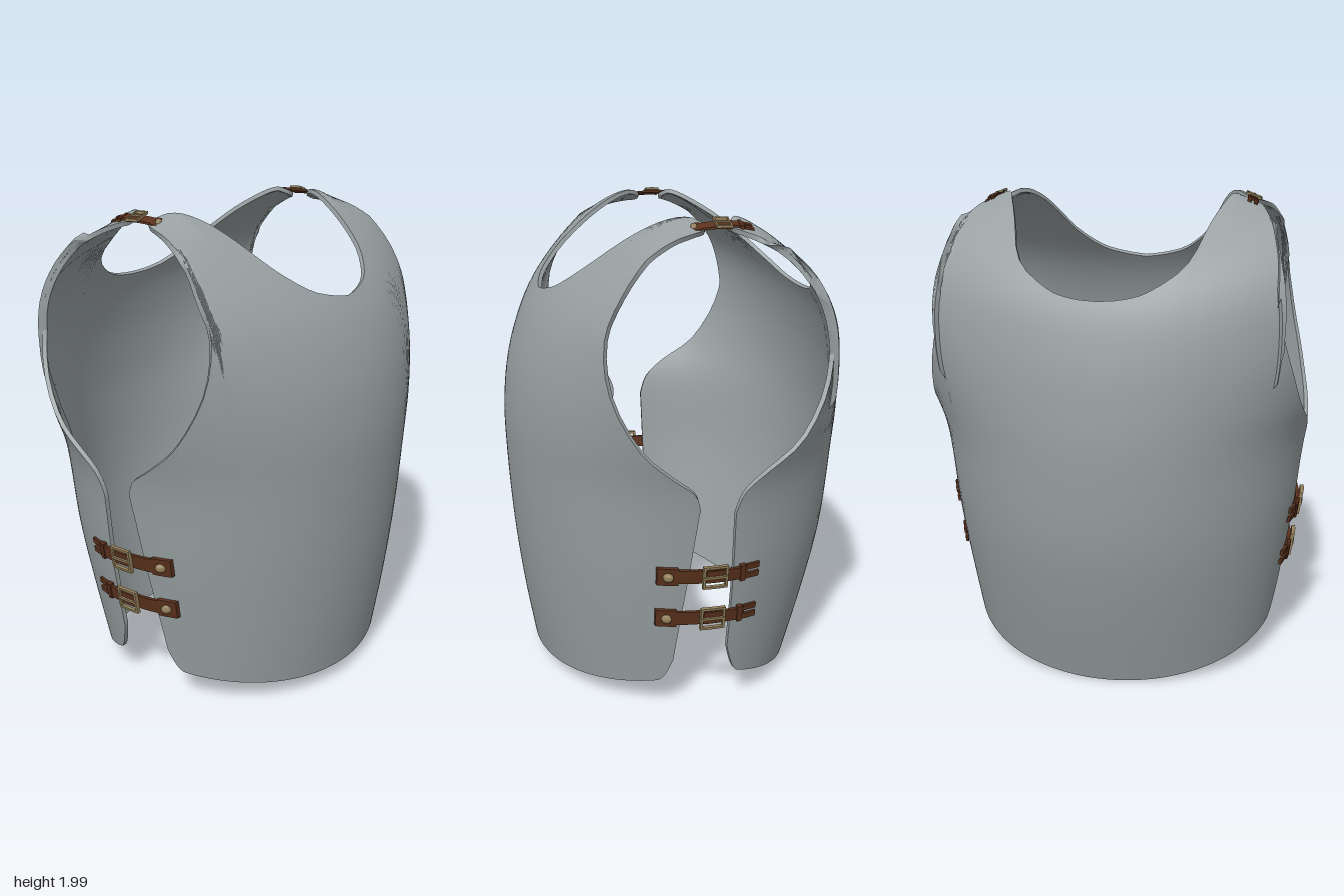
import * as THREE from 'three';
import { mergeGeometries, mergeVertices, toCreasedNormals } from 'three/addons/utils/BufferGeometryUtils.js';

const COLS = 108, ROWS = 30, THICK = 0.018;

// Side profile rows (half width, height, depth), numbered upward from the hem
const FRONT = {
  side: 1, lift: 0.42, hem: 1.33,
  profile: [[0.665, 0.07, 0.62], [0.705, 0.35, 0.66], [0.75, 0.66, 0.69], [0.795, 1, 0.705],
    [0.85, 1.2, 0.7], [0.905, 1.4, 0.665], [0.96, 1.6, 0.585], [0.98, 1.75, 0.47],
    [0.97, 1.87, 0.33], [0.95, 1.95, 0.2], [0.95, 1.988, 0.09], [0.95, 1.985, 0]],
  // Edge over neck, shoulder tip and armhole (angle, profile row)
  edge: [[0, 6.4], [0.1, 6.5], [0.21, 6.75], [0.32, 7.4], [0.39, 8.3], [0.45, 9.3], [0.5, 10.3],
    [0.56, 11], [0.62, 10.9], [0.66, 10.1], [0.7, 9], [0.72, 8], [0.75, 7], [0.79, 6],
    [0.92, 5], [1.12, 4], [1.3, 3.4], [1.42, 3.1], [1.457, 2.85]],
};
const BACK = {
  side: -1, lift: 0.55, hem: 1.46,
  profile: [[0.65, 0, 0.515], [0.705, 0.35, 0.61], [0.75, 0.66, 0.675], [0.79, 1, 0.7],
    [0.87, 1.2, 0.695], [0.95, 1.4, 0.672], [1, 1.6, 0.62], [1, 1.75, 0.525],
    [0.98, 1.87, 0.38], [0.96, 1.945, 0.26], [0.95, 1.985, 0.17], [0.95, 1.985, 0.12]],
  edge: [[0, 6.1], [0.1, 6.15], [0.2, 6.35], [0.33, 7], [0.41, 8.2], [0.47, 9.3], [0.51, 10.3],
    [0.56, 11], [0.61, 10.9], [0.64, 10.1], [0.67, 9], [0.69, 8], [0.71, 7], [0.72, 6],
    [0.84, 5], [1.06, 4], [1.3, 3.4], [1.43, 3.05], [1.48, 2.75]],
};

// Curved plate: columns run from the hem to the neck, shoulder and armhole edge
function plateGeometry({ side, lift, hem, profile, edge }) {
  const rows = new THREE.CatmullRomCurve3(profile.map((p) => new THREE.Vector3(...p)), false, 'catmullrom', 0.5);
  const top = new THREE.SplineCurve(edge.map((p) => new THREE.Vector2(...p)));
  const last = profile.length - 1;
  const pos = [], grid = [];
  const id = (c, r) => r * (COLS + 1) + c;
  for (let r = 0; r <= ROWS; r++) {
    for (let c = 0; c <= COLS; c++) {
      const u = (c / COLS) * 2 - 1, s = Math.abs(u), t = r / ROWS;
      const end = top.getPoint(s);
      const corner = Math.max(0, (s - 0.92) / 0.08);
      const low = lift * (1 - Math.cos(s * hem)) + 0.35 * corner * corner;
      const angle = THREE.MathUtils.lerp(s * hem, end.x, t);
      const row = THREE.MathUtils.lerp(low, end.y, t);
      const p = rows.getPoint(Math.min(1, row / last));
      const x = p.x * Math.sin(angle);
      // shoulders slope down to the outside
      const drop = 0.4 * Math.max(0, x - 0.47) * THREE.MathUtils.clamp((row - 8) / 2, 0, 1);
      pos.push(side * Math.sign(u) * x, p.y - drop, side * p.z * Math.cos(angle));
    }
  }
  for (let r = 0; r < ROWS; r++) {
    for (let c = 0; c < COLS; c++) {
      const a = id(c, r), b = id(c + 1, r), d = id(c, r + 1), e = id(c + 1, r + 1);
      grid.push(a, b, e, a, e, d);
    }
  }
  const outer = new THREE.BufferGeometry();
  outer.setAttribute('position', new THREE.Float32BufferAttribute(pos, 3));
  outer.setIndex(grid);
  outer.computeVertexNormals();
  const n = pos.length / 3, normals = outer.attributes.normal.array;
  const all = pos.concat(pos.map((v, i) => v - normals[i] * THICK));
  const index = grid.slice();
  for (let i = 0; i < grid.length; i += 3) index.push(grid[i] + n, grid[i + 2] + n, grid[i + 1] + n);
  // Rim joining the outer and inner skins
  const rim = [];
  for (let c = 0; c < COLS; c++) rim.push(id(c, 0));
  for (let r = 0; r < ROWS; r++) rim.push(id(COLS, r));
  for (let c = COLS; c > 0; c--) rim.push(id(c, ROWS));
  for (let r = ROWS; r > 0; r--) rim.push(id(0, r));
  rim.forEach((a, i) => {
    const b = rim[(i + 1) % rim.length];
    index.push(a, a + n, b + n, a, b + n, b);
  });
  const shell = new THREE.BufferGeometry();
  shell.setAttribute('position', new THREE.Float32BufferAttribute(all, 3));
  shell.setIndex(index);
  return toCreasedNormals(shell, 0.9);
}

// Box in strap space: x = height off the plate, y = across, z = along
function bar(off, y, z, thick, width, length) {
  return new THREE.BoxGeometry(thick, width, length, 1, 1, 8).translate(off, y, z);
}

function leatherParts() {
  return [
    bar(0.008, 0, 0.18, 0.018, 0.076, 0.08),
    bar(0.008, 0, 0.045, 0.014, 0.06, 0.2),
    bar(0.016, 0, -0.05, 0.014, 0.054, 0.17),
    bar(0.016, 0, -0.115, 0.024, 0.07, 0.022),
    bar(0.014, 0.02, -0.16, 0.012, 0.024, 0.06),
    bar(0.014, -0.02, -0.16, 0.012, 0.024, 0.06),
  ];
}

function brassParts() {
  const parts = [bar(0.03, 0, 0, 0.01, 0.01, 0.1)];
  for (const s of [-1, 1]) {
    parts.push(bar(0.024, s * 0.045, 0, 0.016, 0.01, 0.1));
    parts.push(bar(0.024, 0, s * 0.045, 0.016, 0.1, 0.01));
  }
  const rivet = new THREE.SphereGeometry(0.02, 14, 10);
  parts.push(rivet.scale(0.8, 1, 1).translate(0.02, 0, 0.18));
  return parts;
}

// Bend merged strap parts onto the armour by a placing rule
function bend(parts, place) {
  const geometry = mergeGeometries(parts);
  geometry.deleteAttribute('normal');
  geometry.deleteAttribute('uv');
  const p = geometry.attributes.position;
  for (let i = 0; i < p.count; i++) p.setXYZ(i, ...place(p.getX(i), p.getY(i), p.getZ(i)));
  return toCreasedNormals(mergeVertices(geometry), 0.8);
}

const sidePlace = (sx, height) => (off, a, z) => {
  const y = height + sx * a + 0.03 * z;
  const wall = (0.654 + 0.145 * y) * Math.sqrt(1 - (z / 0.68) ** 2);
  return [sx * (wall + off), y, z + 0.015];
};

const shoulderPlace = (sx) => (off, a, along) => {
  const x = sx * 0.535 - 0.61 * a, z = 0.61 * along - 0.065;
  return [x, 1.988 + 0.61 * off - 0.4 * (Math.abs(x) - 0.47) - 0.9 * (z + 0.05) ** 2, z];
};

export function createModel() {
  const steel = new THREE.MeshStandardMaterial({ name: 'steel', color: 0x98a0a1 });
  const leather = new THREE.MeshStandardMaterial({ name: 'leather', color: 0x5a311c });
  const brass = new THREE.MeshStandardMaterial({ name: 'brass', color: 0x94815c });

  const model = new THREE.Group();
  model.name = 'cuirass';
  const add = (parent, name, geometry, material) => {
    const mesh = new THREE.Mesh(geometry, material);
    mesh.name = name;
    parent.add(mesh);
  };
  add(model, 'breastPlate', plateGeometry(FRONT), steel);
  add(model, 'backPlate', plateGeometry(BACK), steel);

  const addStrap = (name, place) => {
    const strap = new THREE.Group();
    strap.name = name;
    add(strap, 'strapLeather', bend(leatherParts(), place), leather);
    add(strap, 'buckleAndRivet', bend(brassParts(), place), brass);
    model.add(strap);
  };
  for (const sx of [1, -1]) {
    const label = sx > 0 ? 'left' : 'right';
    addStrap(label + 'UpperSideStrap', sidePlace(sx, 0.665));
    addStrap(label + 'LowerSideStrap', sidePlace(sx, 0.47));
    addStrap(label + 'ShoulderStrap', shoulderPlace(sx));
  }
  return model;
}
